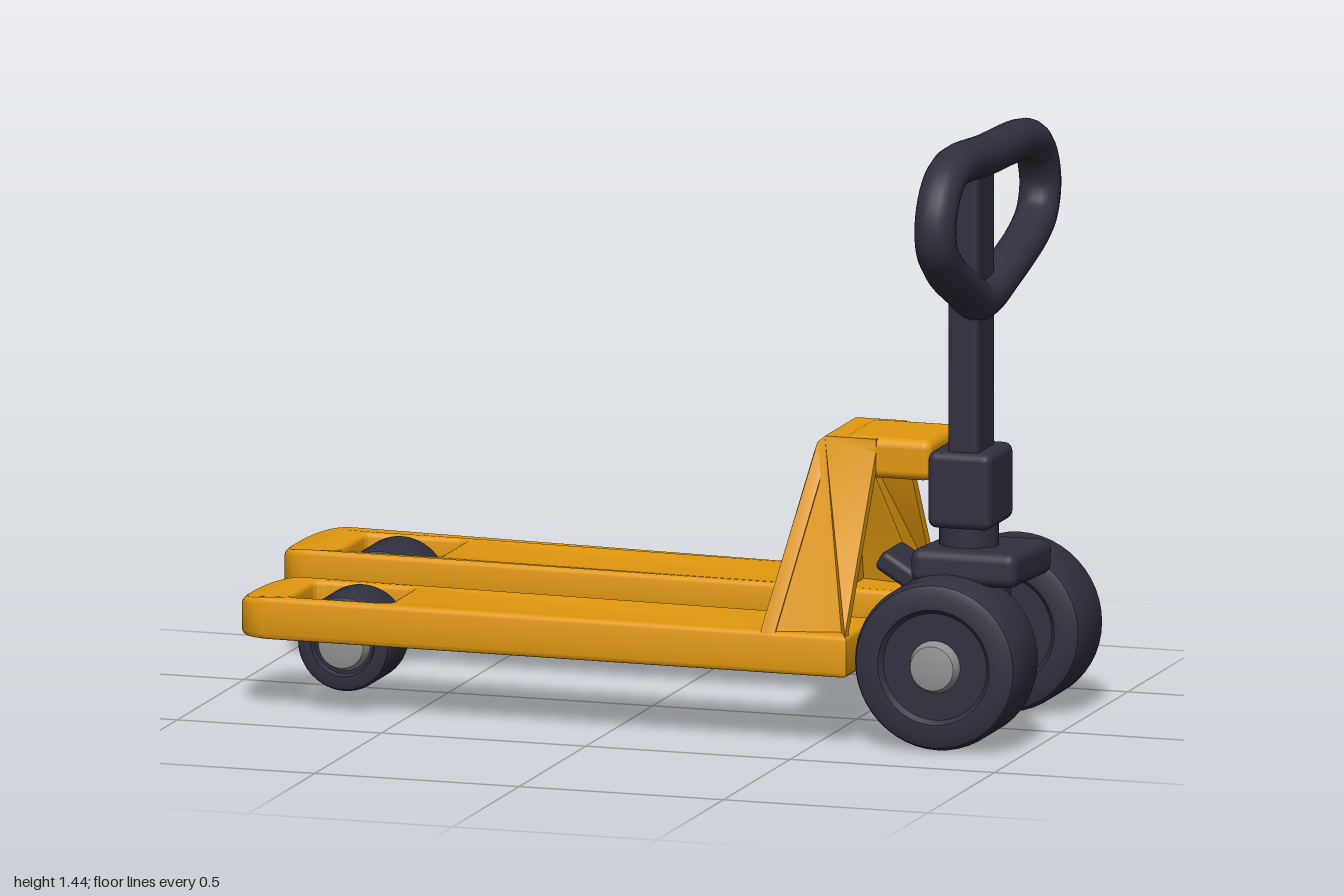
import * as THREE from 'three';
import { toCreasedNormals } from 'three/addons/utils/BufferGeometryUtils.js';
import { RoundedBoxGeometry } from 'three/addons/geometries/RoundedBoxGeometry.js';

export function createModel() {
  const model = new THREE.Group();
  model.name = 'palletTruck';
  const paint = (name, color, side = THREE.FrontSide) => new THREE.MeshStandardMaterial({ name, color, side });
  const yellow = paint('yellowPaint', 0xe2990f);
  const dark = paint('darkRubber', 0x31303f);
  const grey = paint('greyMetal', 0x929292);

  const add = (name, geometry, material, parent = model) => {
    const mesh = new THREE.Mesh(geometry, material);
    mesh.name = name;
    parent.add(mesh);
    return mesh;
  };
  // Rounded block given by its limits on each axis
  const block = (name, [x0, x1], [y0, y1], [z0, z1], r, material) => {
    const m = add(name, new RoundedBoxGeometry(x1 - x0, y1 - y0, z1 - z0, 3, r), material);
    m.position.set((x0 + x1) / 2, (y0 + y1) / 2, (z0 + z1) / 2);
    return m;
  };
  const polygon = pts => new THREE.Shape(pts.map(p => new THREE.Vector2(...p)));

  // Forks: flat blades with a round nose and a through hole for the load wheel
  // zb, zf: back and front edges, each [at the nose, at the heel]
  function fork(name, nose, zb, zf, hole) {
    const heel = 0.595, r = 0.1;
    const s = new THREE.Shape();
    s.moveTo(heel, -zf[1]);
    s.lineTo(heel, -zb[1]);
    s.lineTo(nose + r, -zb[0]);
    s.bezierCurveTo(nose + 0.02, -zb[0], nose, -zb[0] - 0.08, nose, -(zb[0] + zf[0]) / 2);
    s.bezierCurveTo(nose, -zf[0] + 0.06, nose + 0.02, -zf[0], nose + r, -zf[0]);
    s.closePath();
    const [x0, x1, z0, z1] = hole, c = 0.025;
    const h = new THREE.Path();
    h.moveTo(x0 + c, -z0);
    h.lineTo(x1 - c, -z0);
    h.quadraticCurveTo(x1, -z0, x1, -z0 - c);
    h.lineTo(x1, -z1 + c);
    h.quadraticCurveTo(x1, -z1, x1 - c, -z1);
    h.lineTo(x0 + c, -z1);
    h.quadraticCurveTo(x0, -z1, x0, -z1 + c);
    h.lineTo(x0, -z0 - c);
    h.quadraticCurveTo(x0, -z0, x0 + c, -z0);
    s.holes.push(h);
    const g = new THREE.ExtrudeGeometry(s, {
      depth: 0.076, bevelThickness: 0.012, bevelSize: 0.012, bevelOffset: -0.012, bevelSegments: 3, curveSegments: 12,
    });
    g.rotateX(-Math.PI / 2).translate(0, 0.189, 0);
    // Let the top slope down a little at the nose
    const p = g.attributes.position;
    for (let i = 0; i < p.count; i++) {
      const t = Math.max(0, 1 - (p.getX(i) - nose) / 0.1);
      if (p.getY(i) > 0.23) p.setY(i, p.getY(i) - 0.02 * t * t);
    }
    add(name, toCreasedNormals(g, 0.6), yellow);
  }
  fork('rightFork', -1, [-0.512, -0.422], [-0.208, -0.17], [-0.845, -0.6, -0.448, -0.24]);
  fork('leftFork', -0.92, [0.082, 0.13], [0.352, 0.37], [-0.785, -0.54, 0.122, 0.318]);

  // Tower: hollow shell, open at the back, whose sides lean inward
  const lean = y => 0.6 * (Math.min(Math.max(y, 0.28), 0.67) - 0.28);
  const zFront = y => 0.366 - lean(y), zBack = y => -0.335 + lean(y);
  function towerPart(name, pts, place) {
    const g = new THREE.ExtrudeGeometry(polygon(pts), { depth: 1, bevelEnabled: false });
    const p = g.attributes.position;
    for (let i = 0; i < p.count; i++) p.setZ(i, place(p.getY(i), p.getZ(i)));
    add(name, toCreasedNormals(g, 0.6), yellow);
  }
  const front = [[0.382, 0.19], [0.385, 0.28], [0.44, 0.66], [0.447, 0.685], [0.465, 0.7], [0.59, 0.7]];
  const inner = [[0.59, 0.665], [0.48, 0.665], [0.47, 0.64], [0.42, 0.28], [0.42, 0.19]];
  towerPart('towerShell', [...front, ...inner],
    (y, t) => THREE.MathUtils.lerp(zBack(y) + 0.002, zFront(y) - 0.002, t));
  const side = [...front, [0.59, 0.67], [0.59, 0.28], [0.59, 0.19]];
  towerPart('towerLeftSide', side, (y, t) => zFront(y) - 0.03 * (1 - t));
  towerPart('towerRightSide', side, (y, t) => zBack(y) + 0.03 * t);
  block('towerLip', [0.5, 0.722], [0.605, 0.702], [-0.1, 0.13], 0.022, yellow);

  // Wheels: turned tyre with a recessed face and a metal hub
  function wheel(name, x, y, z, R, width, hubR) {
    const group = new THREE.Group();
    group.name = name;
    group.position.set(x, y, z);
    const h = width / 2, e = R * 0.14;
    const half = [[R, h - e], [R - e * 0.3, h - e * 0.3], [R - e, h], [R * 0.68, h], [R * 0.63, h - 0.012], [0, h - 0.012]];
    const profile = [...half.map(([r, a]) => [r, -a]).reverse(), ...half].map(p => new THREE.Vector2(...p));
    const tyre = new THREE.LatheGeometry(profile, 48).rotateX(Math.PI / 2);
    add('tyre', toCreasedNormals(tyre, 0.7), dark, group);
    const k = h + 0.016;
    const hubHalf = [[hubR, h - 0.01], [hubR * 0.85, k - 0.003], [hubR * 0.6, k], [0, k]];
    const hubProfile = [...hubHalf.map(([r, a]) => [r, -a]).reverse(), ...hubHalf].map(p => new THREE.Vector2(...p));
    add('hub', toCreasedNormals(new THREE.LatheGeometry(hubProfile, 24).rotateX(Math.PI / 2), 0.6), grey, group);
    model.add(group);
  }
  wheel('leftSteerWheel', 0.795, 0.208, 0.232, 0.201, 0.195, 0.062);
  wheel('rightSteerWheel', 0.795, 0.206, -0.253, 0.201, 0.19, 0.062);
  wheel('rightLoadWheel', -0.755, 0.165, -0.355, 0.113, 0.185, 0.065);
  wheel('leftLoadWheel', -0.66, 0.168, 0.22, 0.114, 0.165, 0.065);

  // Steering axle, crown and strut
  const axle = add('steerAxle', new THREE.CylinderGeometry(0.066, 0.066, 0.36, 32).rotateX(Math.PI / 2), dark);
  axle.position.set(0.79, 0.212, -0.01);
  block('crown', [0.7, 0.96], [0.375, 0.458], [-0.066, 0.224], 0.025, dark).rotation.x = -0.05;
  block('crownStrut', [0.74, 0.86], [0.25, 0.4], [-0.08, 0.015], 0.03, dark).rotation.x = -0.08;
  block('linkArm', [0.57, 0.76], [0.335, 0.385], [-0.04, 0.1], 0.015, dark).rotation.z = -0.55;

  // Drawbar
  const neck = add('drawbarNeck', new THREE.CylinderGeometry(0.07, 0.07, 0.15, 24), dark);
  neck.position.set(0.807, 0.465, 0.1);
  block('drawbarCollar', [0.735, 0.89], [0.51, 0.692], [0.012, 0.198], 0.02, dark);
  block('drawbarPole', [0.78, 0.855], [0.65, 1.38], [0.049, 0.179], 0.012, dark);

  // Handle loop
  const loop = [
    [0.34, 1.395], [0.41, 1.365], [0.454, 1.3], [0.45, 1.23], [0.39, 1.17], [0.25, 1.095], [0.15, 1.05],
    [0.08, 1.05], [-0.05, 1.08], [-0.24, 1.135], [-0.305, 1.175], [-0.329, 1.24], [-0.3, 1.315], [-0.25, 1.352],
    [-0.18, 1.368], [0.08, 1.382],
  ].map(([z, y]) => new THREE.Vector3(0.842, y, z));
  const path = new THREE.CatmullRomCurve3(loop, true, 'centripetal');
  add('handleLoop', new THREE.TubeGeometry(path, 128, 0.049, 16, true), dark);

  return model;
}
